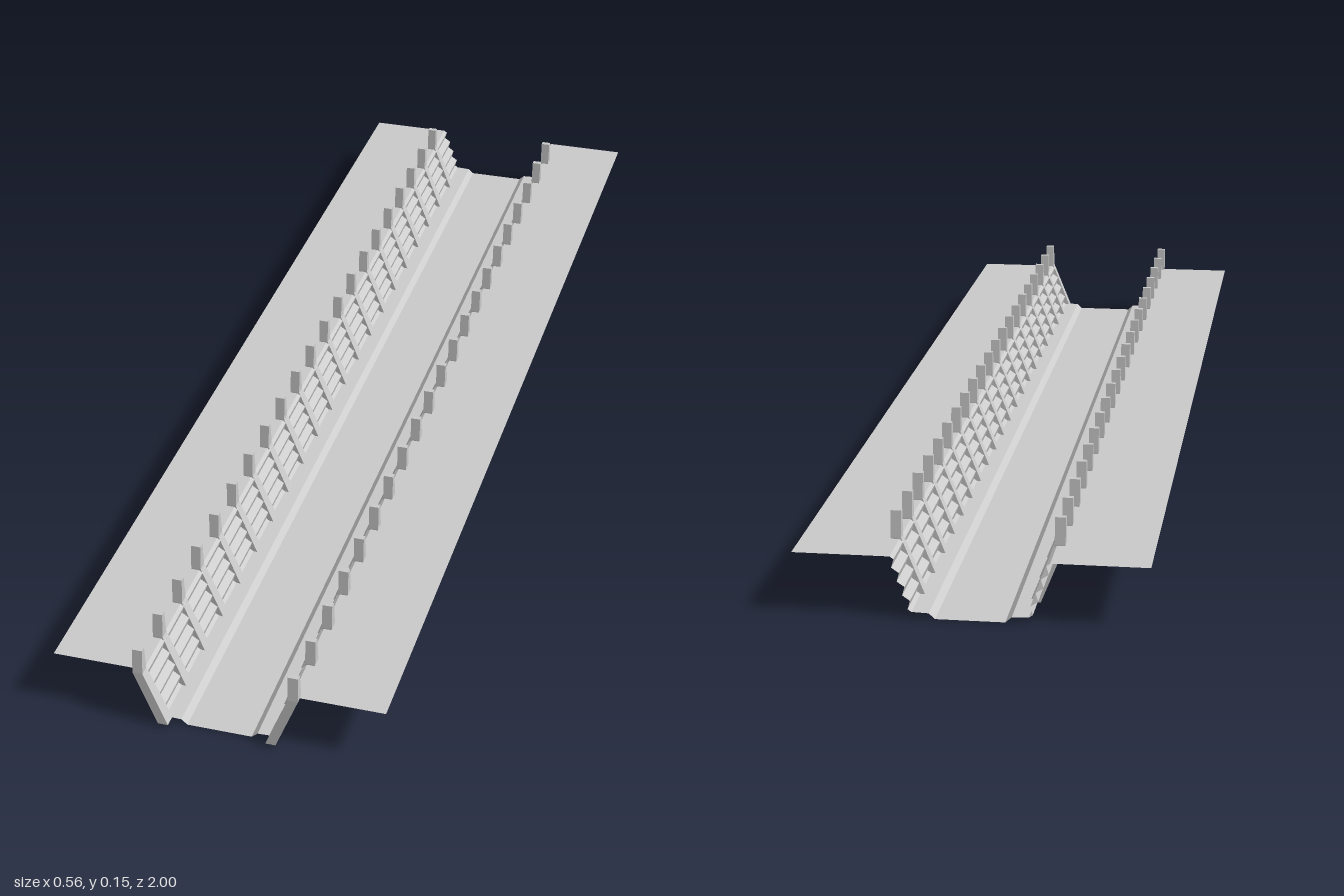
import * as THREE from 'three';

const Z_BACK = -1, Z_FRONT = 0.985;

const solid = new THREE.MeshStandardMaterial({ color: 0xcccccc, flatShading: true });
const sheet = new THREE.MeshStandardMaterial({ color: 0xcccccc, flatShading: true, side: THREE.DoubleSide });

// Sweep an open [x, y] profile along z into a thin sheet
function sweep(name, profile) {
  const geo = new THREE.PlaneGeometry(1, 1, profile.length - 1, 1);
  const pos = geo.attributes.position;
  for (let i = 0; i < pos.count; i++) {
    const [x, y] = profile[i % profile.length];
    pos.setXYZ(i, x, y, i < profile.length ? Z_BACK : Z_FRONT);
  }
  geo.computeVertexNormals();
  const mesh = new THREE.Mesh(geo, sheet);
  mesh.name = name;
  return mesh;
}

// Stake: leaning lower part, upright tapered tip
function stakeGeometry(side) {
  const levels = [
    { x: 0.0915, y: 0.005, half: 0.011 },
    { x: 0.1305, y: 0.102, half: 0.009 },
    { x: 0.1305, y: 0.146, half: 0.005 },
  ];
  const geo = new THREE.BoxGeometry(0.017, 2, 2, 1, 2, 1);
  const pos = geo.attributes.position;
  for (let i = 0; i < pos.count; i++) {
    const l = levels[Math.round(pos.getY(i)) + 1];
    pos.setXYZ(i, side * l.x + pos.getX(i), l.y, pos.getZ(i) * l.half);
  }
  geo.computeVertexNormals();
  return geo;
}

// Corrugated wall profile from the floor edge up to the ground edge
function wallProfile(side) {
  const points = [], waves = 4, steps = waves * 4;
  for (let i = 0; i <= steps; i++) {
    const t = i / steps;
    const bulge = 0.004 * Math.sin(t * waves * Math.PI * 2);
    points.push([side * (0.092 + 0.033 * t + bulge), 0.01 + 0.09 * t - bulge * 0.35]);
  }
  return points;
}

export function createModel() {
  const model = new THREE.Group();
  model.name = 'trench';

  // Floor with raised edges
  model.add(sweep('floor', [
    [-0.092, 0.01], [-0.065, 0.009], [-0.055, 0], [0.055, 0], [0.065, 0.009], [0.092, 0.01],
  ]));

  for (const side of [-1, 1]) {
    const label = side > 0 ? 'left' : 'right';

    // Flat ground beside the trench
    const ground = [[side * 0.125, 0.1], [side * 0.28, 0.1]];
    model.add(sweep(label + 'Ground', side > 0 ? ground : ground.reverse()));

    // Corrugated wall
    const wall = wallProfile(side);
    model.add(sweep(label + 'Wall', side > 0 ? wall : wall.reverse()));

    // Row of stakes holding the wall
    const stakes = new THREE.Group();
    stakes.name = label + 'Stakes';
    const geo = stakeGeometry(side);
    for (let i = 0; i < 21; i++) {
      const stake = new THREE.Mesh(geo, solid);
      stake.name = 'stake';
      stake.position.z = 0.989 - i * 0.095;
      stakes.add(stake);
    }
    model.add(stakes);
  }
  return model;
}
